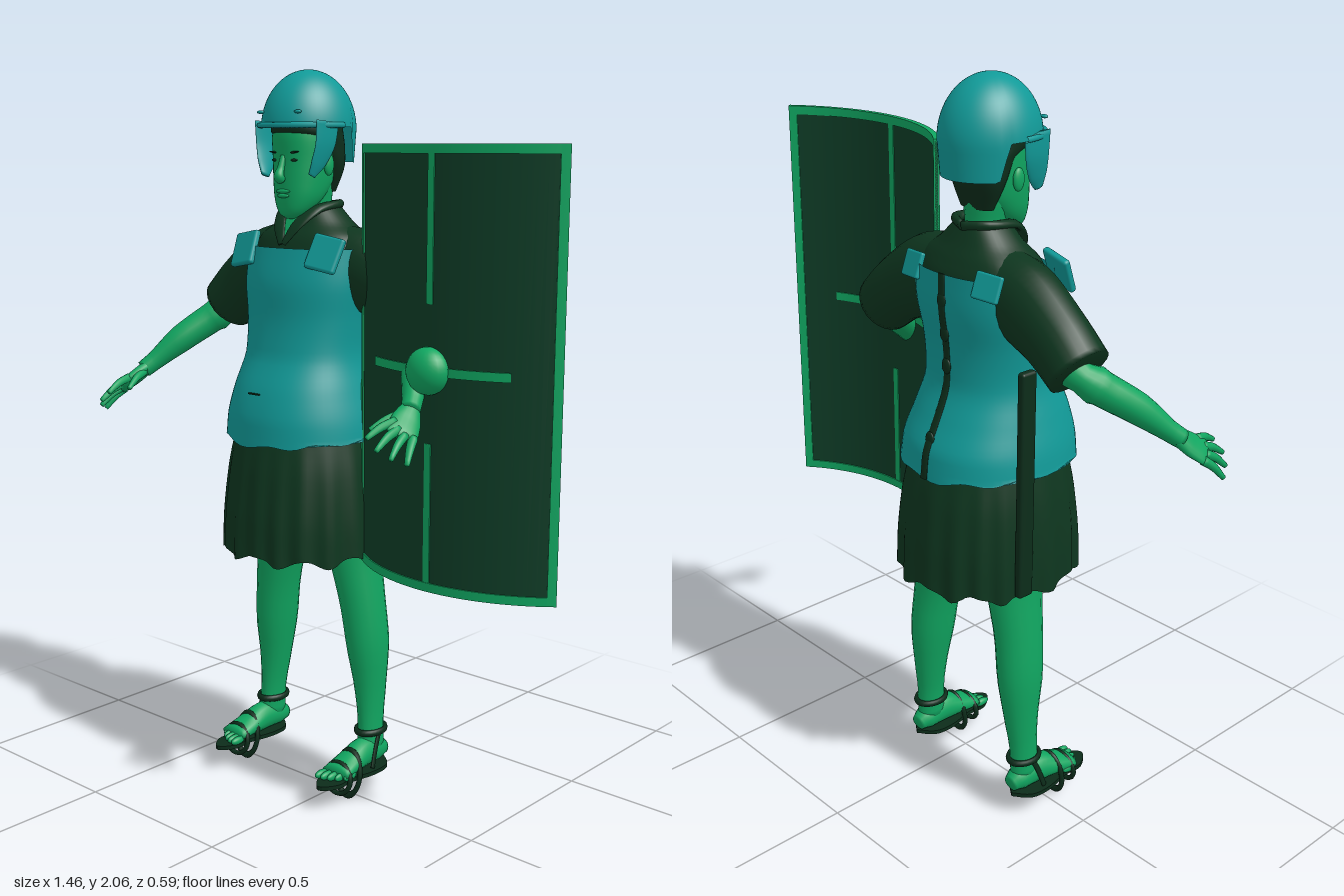
import * as THREE from 'three';
import { RoundedBoxGeometry } from 'three/addons/geometries/RoundedBoxGeometry.js';

const V = (x, y, z) => new THREE.Vector3(x, y, z);

// Surface from a rule f(u, v), closed around u, smooth normals
function grid(nu, nv, f) {
  const pos = [], idx = [];
  for (let j = 0; j <= nv; j++) for (let i = 0; i < nu; i++) pos.push(...f(i / nu, j / nv).toArray());
  for (let j = 0; j < nv; j++) for (let i = 0; i < nu; i++) {
    const a = j * nu + i, b = j * nu + (i + 1) % nu;
    idx.push(a, b, a + nu, b, b + nu, a + nu);
  }
  const g = new THREE.BufferGeometry();
  g.setAttribute('position', new THREE.Float32BufferAttribute(pos, 3));
  g.setIndex(idx);
  g.computeVertexNormals();
  return g;
}

// Upright form from rows of [y, half width, front z, back z]
function trunk(rows, power = 2, nu = 40, nv = 24, warp = null) {
  const a = new THREE.CatmullRomCurve3(rows.map(r => V(r[0], r[1], 0)));
  const b = new THREE.CatmullRomCurve3(rows.map(r => V(r[2], r[3], 0)));
  const round = s => Math.sign(s) * Math.abs(s) ** (2 / power);
  return grid(nu, nv, (u, v) => {
    const p = a.getPoint(v), q = b.getPoint(v), t = u * Math.PI * 2;
    const zc = (q.x + q.y) / 2, k = warp ? warp(t, v) : [1, 0];
    return V(round(Math.sin(t)) * p.y * k[0], p.x + k[1], zc + round(Math.cos(t)) * (q.x - q.y) / 2 * k[0]);
  });
}

// Capped limb through points of [x, y, z, radius, second radius]
function limb(pts, ref = V(0, 0, 1), nu = 18, nv = 20) {
  const c = new THREE.CatmullRomCurve3(pts.map(p => V(p[0], p[1], p[2])));
  const r = new THREE.CatmullRomCurve3(pts.map(p => V(p[3], p[4] ?? p[3], 0)));
  return grid(nu, nv + 2, (u, w) => {
    const k = Math.round(w * (nv + 2)) - 1, v = Math.min(Math.max(k / nv, 0), 1);
    const p = c.getPoint(v);
    if (k < 0 || k > nv) return p;
    const d = c.getTangent(v), s = r.getPoint(v), t = u * Math.PI * 2;
    const n = ref.clone().addScaledVector(d, -ref.dot(d)).normalize(), b = d.clone().cross(n);
    return p.addScaledVector(n, Math.cos(t) * s.x).addScaledVector(b, Math.sin(t) * s.y);
  });
}

export function createModel() {
  const mat = (name, color) => Object.assign(
    new THREE.MeshStandardMaterial({ color, side: THREE.DoubleSide }), { name });
  const skin = mat('skin green', 0x10a560), trim = mat('shield trim', 0x10a862);
  const armour = mat('armour teal', 0x119a98), cloth = mat('dark cloth', 0x0e361f);
  const panel = mat('shield panel', 0x0f3d27), leather = mat('dark leather', 0x0c2c1a);

  const model = new THREE.Group(), soldier = new THREE.Group(), shield = new THREE.Group();
  soldier.name = 'soldier';
  shield.name = 'shield';
  soldier.position.x = -0.135;
  shield.position.set(0.4, 1.225, 0.085);
  model.add(soldier, shield);
  const add = (name, geo, material, p = [0, 0, 0], r = [0, 0, 0], s = [1, 1, 1], parent = soldier) => {
    const m = new THREE.Mesh(geo, material);
    m.name = name;
    m.position.set(...p);
    m.rotation.set(...r);
    m.scale.set(...s);
    parent.add(m);
    return m;
  };
  const ball = new THREE.SphereGeometry(1, 24, 16);

  // Head and face
  add('head', trunk([[1.598, 0.012, 0.045, 0.02], [1.612, 0.038, 0.06, -0.01], [1.65, 0.064, 0.066, -0.06], [1.7, 0.077, 0.067, -0.1],
    [1.76, 0.083, 0.066, -0.115], [1.82, 0.085, 0.068, -0.12], [1.88, 0.08, 0.055, -0.12]], 2.2), skin);
  add('neck', limb([[0, 1.48, -0.07, 0.07], [0, 1.58, -0.06, 0.062], [0, 1.7, -0.05, 0.062]]), skin);
  add('nose', limb([[0, 1.768, 0.062, 0.008], [0, 1.735, 0.073, 0.01], [0, 1.712, 0.08, 0.015], [0, 1.702, 0.07, 0.012]]), skin);
  add('upperLip', ball, skin, [0, 1.673, 0.066], [0, 0, 0], [0.026, 0.006, 0.007]);
  add('lowerLip', ball, skin, [0, 1.661, 0.065], [0, 0, 0], [0.022, 0.006, 0.007]);
  add('hair', trunk([[1.67, 0.055, -0.06, -0.108], [1.74, 0.086, -0.035, -0.125], [1.8, 0.091, 0, -0.13],
    [1.835, 0.092, 0.07, -0.135], [1.9, 0.088, 0.065, -0.13]], 2.2), leather);

  // Helmet: dome that drops lower behind the ears
  add('helmetDome', grid(64, 22, (u, v) => {
    const t = u * Math.PI * 2, back = THREE.MathUtils.smoothstep(-Math.cos(t), 0.28, 0.5);
    const low = 1.845 - 0.095 * back, y = low + (2 - low) * Math.sin(v * Math.PI / 2);
    const k = y > 1.84 ? Math.sqrt(Math.max(0, 1 - ((y - 1.84) / 0.16) ** 2)) : 1 - (1.84 - y) * 0.6;
    return V(Math.sin(t) * 0.125 * k, y, -0.04 + Math.cos(t) * 0.14 * k);
  }), armour);
  add('helmetBrim', new THREE.TorusGeometry(0.128, 0.008, 8, 32, Math.PI), armour, [0, 1.85, -0.04], [Math.PI / 2, 0, 0], [1, 1.13, 1]);
  for (const s of [-1, 1]) {
    add('cheekGuard', limb([[s * 0.116, 1.86, 0.01, 0.045, 0.007], [s * 0.112, 1.8, 0.015, 0.04, 0.007],
      [s * 0.1, 1.75, 0.03, 0.03, 0.007], [s * 0.088, 1.715, 0.045, 0.014, 0.006]]), armour);
    add('ear', ball, skin, [s * 0.088, 1.745, -0.025], [0, 0, 0], [0.01, 0.03, 0.018]);
    add('eye', ball, leather, [s * 0.034, 1.757, 0.058], [0, 0, 0], [0.014, 0.004, 0.005]);
    add('eyebrow', ball, leather, [s * 0.036, 1.778, 0.06], [0, 0, s * 0.1], [0.02, 0.003, 0.004]);
    add('helmetRivet', ball, armour, [s * 0.07, 1.885, 0.078], [0, 0, 0], [0.012, 0.005, 0.008]);
  }

  // Tunic, open neck and collar
  add('tunic', trunk([[1.25, 0.165, 0.09, -0.17], [1.4, 0.18, 0.08, -0.18], [1.5, 0.19, 0.06, -0.185],
    [1.545, 0.175, 0.045, -0.17], [1.585, 0.12, 0.02, -0.15], [1.63, 0.072, 0.0, -0.13]], 2.3), cloth);
  const vee = new THREE.Shape([[0, 0], [0.035, 0.085], [-0.035, 0.085]].map(p => new THREE.Vector2(...p)));
  add('openNeck', new THREE.ShapeGeometry(vee), skin, [0, 1.535, 0.068], [-0.5, 0, 0]);
  for (const s of [-1, 1])
    add('collar', limb([[s * 0.004, 1.53, 0.07, 0.004, 0.01], [s * 0.035, 1.585, 0.042, 0.006, 0.02],
      [s * 0.062, 1.625, -0.01, 0.01, 0.018], [s * 0.06, 1.635, -0.1, 0.012, 0.014], [0, 1.63, -0.135, 0.01, 0.014]], V(0, 0.5, 1)), cloth);

  // Cuirass with waist and flared hips
  const plate = [[0.975, 0.228, 0.195, -0.272], [1.05, 0.22, 0.19, -0.262], [1.13, 0.2, 0.168, -0.225],
    [1.22, 0.178, 0.128, -0.19], [1.32, 0.183, 0.112, -0.19], [1.42, 0.198, 0.108, -0.205], [1.52, 0.2, 0.085, -0.205]];
  add('cuirass', trunk(plate, 2.25, 64, 30,
    (t, v) => [1, v < 0.02 ? 0.02 * Math.abs(Math.sin(t)) + 0.006 * Math.sin(t * 9) : 0]), armour);
  add('backSeam', limb(plate.map(r => [0, r[0], r[3], 0.004, 0.012])), leather);
  for (const y of [1.08, 1.27, 1.36, 1.45]) {
    const i = plate.findIndex(r => r[0] > y), a = plate[i - 1], b = plate[i];
    add('seamKnot', ball, leather, [0, y, THREE.MathUtils.mapLinear(y, a[0], b[0], a[3], b[3])], [0, 0, 0], [0.016, 0.022, 0.007]);
  }
  add('navelSlit', new THREE.BoxGeometry(0.04, 0.004, 0.006), leather, [-0.012, 1.122, 0.174]);

  // Pleated skirt with a ragged hem
  add('skirt', trunk([[0.655, 0.236, 0.208, -0.285], [0.76, 0.234, 0.206, -0.283], [0.9, 0.222, 0.19, -0.268],
    [1.02, 0.2, 0.165, -0.24]], 2.2, 120, 14,
  (t, v) => [1 + 0.028 * (1 - v) * Math.sin(t * 20 + Math.sin(t * 3)), 0.012 * (1 - v) * Math.sin(t * 10 + 1)]), cloth);

  // Sheathed blade on the right hip
  add('scabbard', new RoundedBoxGeometry(0.024, 0.64, 0.05, 2, 0.008), leather, [-0.226, 0.98, -0.12]);

  for (const s of [-1, 1]) {
    // Shoulder plates
    add('shoulderPlate', new RoundedBoxGeometry(0.098, 0.1, 0.02, 2, 0.008), armour, [s * 0.152, 1.51, 0.062], [-0.4, s * 0.2, s * -0.1]);
    add('rearShoulderPlate', new RoundedBoxGeometry(0.08, 0.07, 0.015, 2, 0.006), armour, [s * 0.14, 1.51, -0.178], [0.35, s * -0.2, 0]);
    // Sleeves
    add('sleeve', limb([[s * 0.07, 1.5, -0.07, 0.085, 0.09], [s * 0.18, 1.455, -0.078, 0.085, 0.11],
      [s * 0.29, 1.395, -0.085, 0.082, 0.095], [s * 0.37, 1.33, -0.085, 0.085, 0.084]], V(0, 0, 1), 24), cloth);
    // Arm
    add('arm', limb([[s * 0.28, 1.4, -0.085, 0.05], [s * 0.36, 1.325, -0.085, 0.045], [s * 0.405, 1.285, -0.04, 0.045],
      [s * 0.455, 1.225, 0.04, 0.041], [s * 0.5, 1.16, 0.11, 0.028], [s * 0.517, 1.135, 0.14, 0.026]]), skin);
    // Hand
    add('palm', limb([[s * 0.51, 1.145, 0.125, 0.02, 0.024], [s * 0.525, 1.115, 0.165, 0.018, 0.04],
      [s * 0.54, 1.09, 0.2, 0.014, 0.044], [s * 0.545, 1.08, 0.21, 0.008, 0.035]], V(s * 0.6, 0.8, 0)), skin);
    const fingers = [[0.505, 1.13, 0.15, 0.468, 1.095, 0.24], [0.516, 1.117, 0.2, 0.5, 1.085, 0.29], [0.532, 1.1, 0.205, 0.533, 1.058, 0.292],
      [0.548, 1.085, 0.2, 0.562, 1.036, 0.27], [0.56, 1.077, 0.18, 0.585, 1.02, 0.235]];
    for (const [a, b, c, d, e, f] of fingers)
      add('finger', limb([[s * a, b, c, 0.013], [s * (a + d) / 2, (b + e) / 2 + 0.006, (c + f) / 2, 0.011],
        [s * d, e, f, 0.007]], V(0, 1, 0), 10, 8), skin);
    // Leg
    add('leg', limb([[s * 0.105, 0.95, -0.06, 0.1, 0.1], [s * 0.125, 0.78, -0.07, 0.095, 0.088], [s * 0.145, 0.64, -0.075, 0.084, 0.07],
      [s * 0.17, 0.5, -0.08, 0.073, 0.061], [s * 0.184, 0.38, -0.086, 0.07, 0.058], [s * 0.193, 0.25, -0.088, 0.053, 0.043],
      [s * 0.2, 0.14, -0.083, 0.044, 0.033], [s * 0.203, 0.05, -0.08, 0.045, 0.033]]), skin);
    // Foot and toes
    add('foot', limb([[s * 0.202, 0.04, -0.135, 0.022, 0.022], [s * 0.203, 0.05, -0.1, 0.038, 0.034], [s * 0.205, 0.055, -0.04, 0.043, 0.036],
      [s * 0.208, 0.042, 0.03, 0.03, 0.043], [s * 0.21, 0.031, 0.085, 0.018, 0.046]], V(0, 1, 0)), skin);
    for (let i = 0; i < 5; i++)
      add('toe', ball, skin, [s * (0.173 + i * 0.0185), 0.025, 0.102 - i * i * 0.0025], [0, 0, 0], [0.0105 - i * 0.0006, 0.012, 0.026]);
    // Sandal
    const sole = new THREE.Shape();
    sole.setFromPoints(new THREE.SplineCurve([[0, -0.135], [0.045, -0.095], [0.052, -0.03], [0.036, 0.05], [0.038, 0.11], [0, 0.155],
      [-0.038, 0.11], [-0.036, 0.05], [-0.052, -0.03], [-0.045, -0.095], [0, -0.135]].map(p => new THREE.Vector2(...p))).getPoints(40));
    add('sandalSole', new THREE.ExtrudeGeometry(sole, { depth: 0.012, bevelEnabled: false }), leather, [s * 0.208, 0.014, 0], [Math.PI / 2, 0, 0]);
    const strap = new THREE.TorusGeometry(1, 0.16, 8, 28);
    add('ankleStrap', strap, leather, [s * 0.201, 0.115, -0.082], [Math.PI / 2, 0, 0], [0.038, 0.049, 0.065]);
    for (const [z, w, h] of [[0.025, 0.043, 0.066], [0.07, 0.046, 0.045]])
      add('footStrap', strap, leather, [s * 0.209, 0.012, z], [-0.15, 0, 0], [w, h, 0.05]);
    add('sideStrap', limb([[s * 0.245, 0.015, -0.04, 0.008, 0.004], [s * 0.24, 0.07, -0.06, 0.008, 0.004],
      [s * 0.236, 0.115, -0.08, 0.008, 0.004]]), leather);
  }

  // Curved shield: boxes bent round an upright axis
  const R = 0.5, half = 0.353;
  const bent = (name, x0, x1, y0, y1, thick, material) => {
    const g = new THREE.BoxGeometry(x1 - x0, y1 - y0, thick, 28, 1, 1), p = g.attributes.position;
    for (let i = 0; i < p.count; i++) {
      const t = (p.getX(i) + (x0 + x1) / 2) / R, r = R + p.getZ(i);
      p.setXYZ(i, Math.sin(t) * r, p.getY(i) + (y0 + y1) / 2, Math.cos(t) * r - R);
    }
    g.computeVertexNormals();
    add(name, g, material, [0, 0, 0], [0, 0, 0], [1, 1, 1], shield);
  };
  bent('shieldPanel', -half, half, -0.57, 0.57, 0.008, panel);
  for (const s of [-1, 1]) {
    const span = (a, b) => s > 0 ? [a, b] : [-b, -a];
    bent('shieldRim', -half, half, ...span(0.552, 0.576), 0.016, trim);
    bent('shieldEdge', ...span(half - 0.024, half), -0.576, 0.576, 0.016, trim);
    bent('shieldUpright', -0.01, 0.01, ...span(0.18, 0.552), 0.013, trim);
    bent('shieldCrossbar', ...span(0.05, 0.225), -0.003, 0.021, 0.015, trim);
  }
  add('shieldBoss', ball, trim, [0, 0.01, 0.008], [0, 0, 0], [0.062, 0.062, 0.05], shield);
  return model;
}
